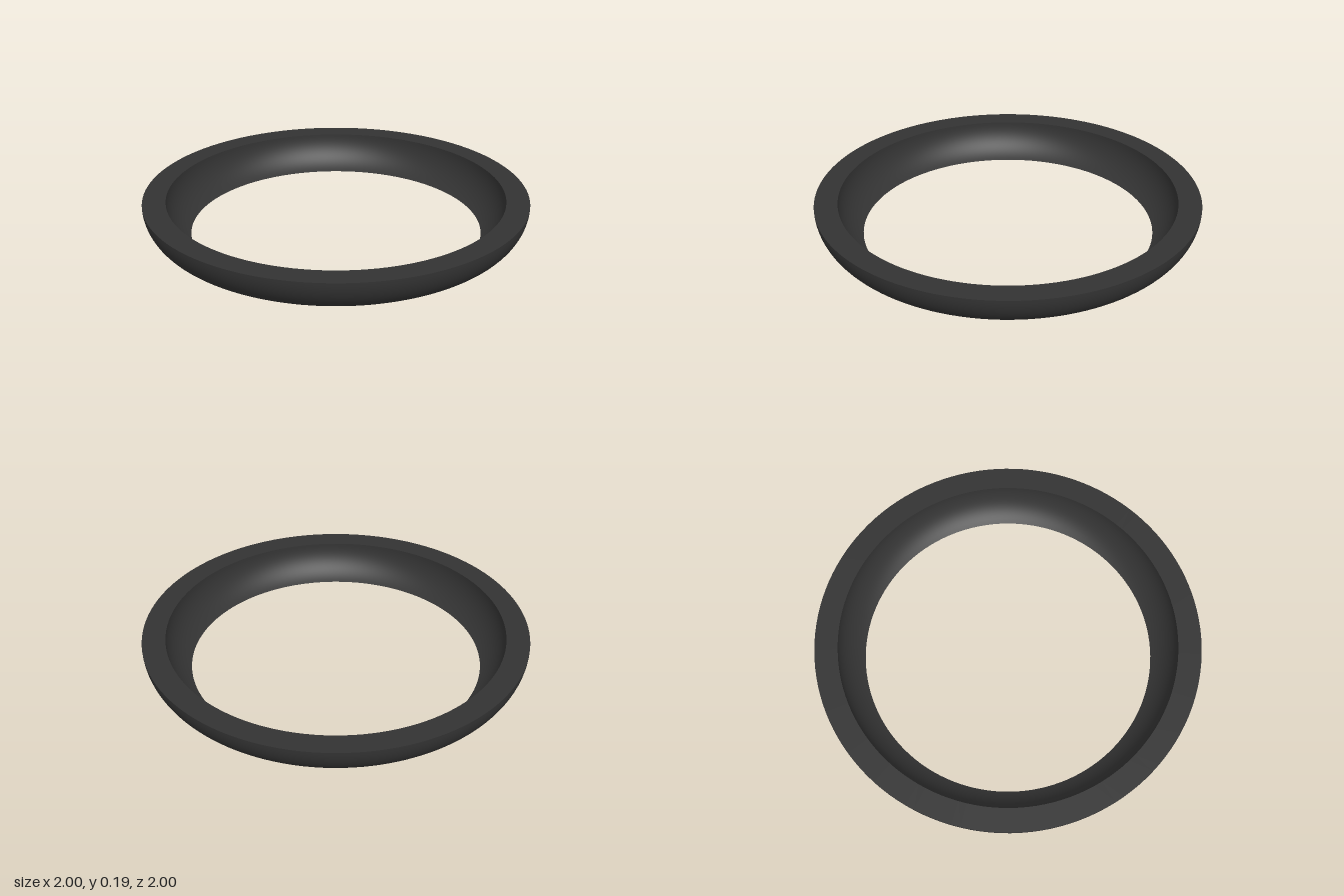
import * as THREE from 'three';

const HEIGHT = 0.195;

// Points of a circular arc in the (radius, height) plane, angles in radians
function arc(cx, cy, r, from, to, steps) {
  return Array.from({ length: steps + 1 }, (_, i) => {
    const a = from + ((to - from) * i) / steps;
    return new THREE.Vector2(cx + r * Math.cos(a), cy + r * Math.sin(a));
  });
}

export function createModel() {
  const group = new THREE.Group();
  group.name = 'ring';
  const material = new THREE.MeshStandardMaterial({ color: 0x333333 });

  // Each surface is its own lathe so the edges between them stay sharp
  const addSurface = (name, points) => {
    const mesh = new THREE.Mesh(new THREE.LatheGeometry(points, 128), material);
    mesh.name = name;
    group.add(mesh);
  };

  // Rounded underside and outer wall, running from the hole out to the rim
  const outerRadius = 0.195;
  const outerCentre = 1 - outerRadius;
  const holeAngle = -Math.acos((0.76 - outerCentre) / outerRadius);
  const outer = arc(outerCentre, HEIGHT, outerRadius, holeAngle, 0, 24);
  addSurface('outerWall', outer);

  // Flat top face
  addSurface('topRim', [new THREE.Vector2(1, HEIGHT), new THREE.Vector2(0.88, HEIGHT)]);

  // Concave inner wall, upright at the rim and flattening toward the hole
  const drop = HEIGHT - outer[0].y;
  const innerRadius = (0.12 ** 2 + drop ** 2) / 0.24;
  const endAngle = -Math.asin(drop / innerRadius);
  addSurface('innerWall', arc(0.88 - innerRadius, HEIGHT, innerRadius, 0, endAngle, 16));

  return group;
}
